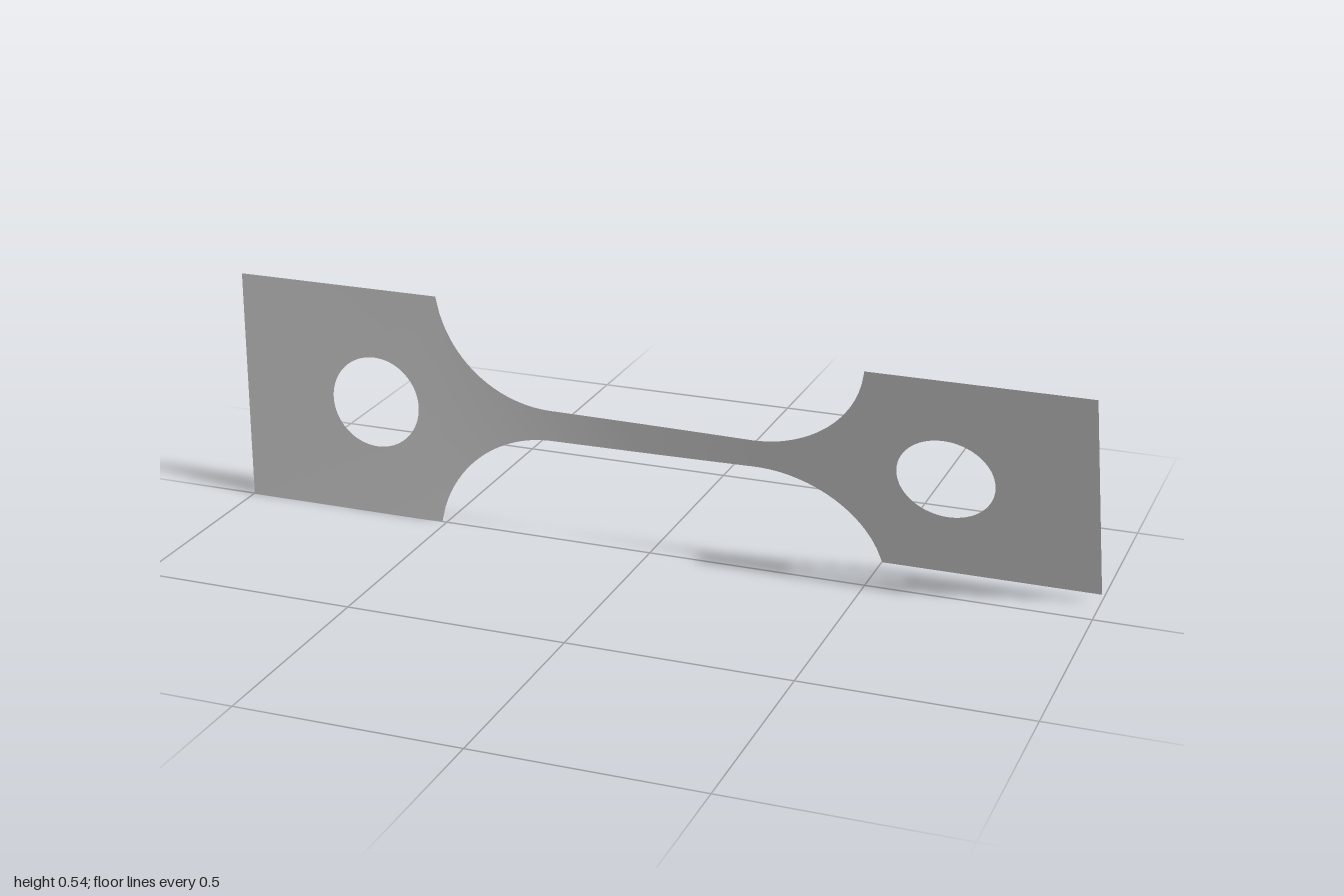
import * as THREE from 'three';

const HALF = 0.272;          // half height of the end tabs
const NECK = 0.037;          // half height of the narrow middle
const TAB_X = 0.511;         // where tabs meet the fillets
const RADIUS = 0.28;         // fillet radius
const FILLET_X = 0.235;      // where fillets meet the straight neck
const TWIST = THREE.MathUtils.degToRad(20.6);
const START = -0.55, END = 0.3;

// Twist angle along the length: still at the left, full at the right
const angle = (x) => TWIST * Math.pow(THREE.MathUtils.clamp((x - START) / (END - START), 0, 1), 1.5);

// Half height of the waisted section
function halfHeight(x) {
  const d = Math.max(0, Math.abs(x) - FILLET_X);
  return NECK + RADIUS - Math.sqrt(RADIUS * RADIUS - d * d);
}

// Twist a flat sheet around the long axis and give it matching smooth normals
function twist(geometry) {
  const p = geometry.attributes.position;
  const normals = geometry.attributes.normal;
  const n = new THREE.Vector3();
  for (let i = 0; i < p.count; i++) {
    const x = p.getX(i), y = p.getY(i), a = angle(x);
    const rate = (angle(x + 0.005) - angle(x - 0.005)) / 0.01;
    p.setXYZ(i, x, HALF + y * Math.cos(a), y * Math.sin(a));
    n.set(-y * rate, -Math.sin(a), Math.cos(a)).normalize();
    normals.setXYZ(i, n.x, n.y, n.z);
  }
  return geometry;
}

// Square tab with a round hole
function tabGeometry(side) {
  const a = Math.min(side * TAB_X, side), b = Math.max(side * TAB_X, side);
  const shape = new THREE.Shape();
  shape.moveTo(a, -HALF).lineTo(b, -HALF).lineTo(b, HALF).lineTo(a, HALF).closePath();
  const hole = new THREE.Path();
  hole.absarc(side * 0.67, 0, 0.108, 0, Math.PI * 2, true);
  shape.holes.push(hole);
  return twist(new THREE.ShapeGeometry(shape, 32));
}

// Waisted strip between the tabs
function neckGeometry() {
  const g = new THREE.PlaneGeometry(2 * TAB_X, 2, 120, 8);
  const p = g.attributes.position;
  for (let i = 0; i < p.count; i++) p.setY(i, p.getY(i) * halfHeight(p.getX(i)));
  return twist(g);
}

export function createModel() {
  const metal = new THREE.MeshStandardMaterial({ color: 0xc0c0c0, side: THREE.DoubleSide });
  metal.name = 'plainGrey';
  const group = new THREE.Group();
  group.name = 'twistedTestStrip';
  const add = (name, geometry) => {
    const mesh = new THREE.Mesh(geometry, metal);
    mesh.name = name;
    group.add(mesh);
  };
  add('rightTab', tabGeometry(-1));
  add('leftTab', tabGeometry(1));
  add('twistedNeck', neckGeometry());
  return group;
}
